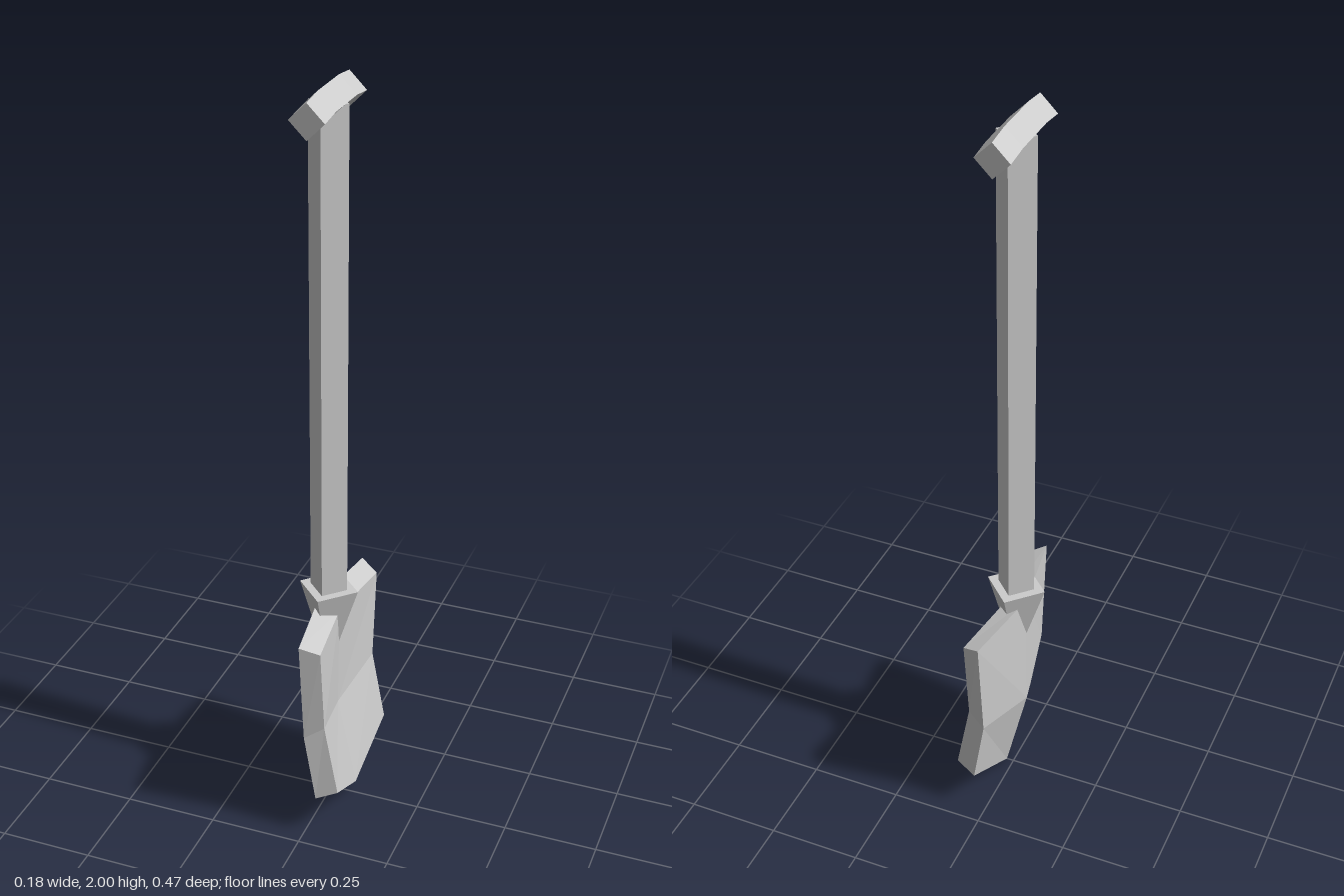
import * as THREE from 'three';

const material = new THREE.MeshStandardMaterial({ color: 0xcccccc, flatShading: true });
const AXIS_X = -0.008; // shaft centre line

function addPart(group, name, geometry) {
  const mesh = new THREE.Mesh(geometry, material);
  mesh.name = name;
  group.add(mesh);
  return mesh;
}

// Expands [corner, centre] rows into a grid mirrored across z
function mirroredGrid(rows) {
  return rows.map(([[cx, cy, cz], [mx, my]]) => [[cx, cy, -cz], [mx, my, 0], [cx, cy, cz]]);
}

// Dished blade: a hollow face, a wider back, and bevelled walls between them
function bladeGeometry() {
  const face = mirroredGrid([
    [[0.05, 0.587, 0.213], [0.022, 0.587]],
    [[0.05, 0.34, 0.186], [0.018, 0.295]],
    [[0.087, 0.14, 0.186], [0.071, 0.038]],
  ]);
  const back = mirroredGrid([
    [[0, 0.61, 0.235], [-0.037, 0.61]],
    [[0, 0.31, 0.205], [-0.04, 0.26]],
    [[0.031, 0.118, 0.203], [0.02, 0]],
  ]);
  const positions = [];
  const quad = (a, b, c, d) => positions.push(...a, ...b, ...c, ...a, ...c, ...d);

  for (let r = 0; r < 2; r++) {
    for (let c = 0; c < 2; c++) {
      quad(face[r][c], face[r][c + 1], face[r + 1][c + 1], face[r + 1][c]);
      quad(back[r][c], back[r + 1][c], back[r + 1][c + 1], back[r][c + 1]);
    }
  }
  const rim = [[0, 0], [0, 1], [0, 2], [1, 2], [2, 2], [2, 1], [2, 0], [1, 0]];
  rim.forEach(([r, c], i) => {
    const [r2, c2] = rim[(i + 1) % rim.length];
    quad(face[r][c], back[r][c], back[r2][c2], face[r2][c2]);
  });

  const geometry = new THREE.BufferGeometry();
  geometry.setAttribute('position', new THREE.Float32BufferAttribute(positions, 3));
  geometry.computeVertexNormals();
  return geometry;
}

// Diamond-section grip along z, its ends drooping slightly
function gripGeometry() {
  const geometry = new THREE.CylinderGeometry(0.044, 0.044, 0.274, 4, 4).rotateX(Math.PI / 2);
  const p = geometry.attributes.position;
  for (let i = 0; i < p.count; i++) {
    if (Math.abs(p.getZ(i)) > 0.1) p.setY(i, p.getY(i) - 0.008);
  }
  geometry.computeVertexNormals();
  return geometry;
}

export function createModel() {
  const group = new THREE.Group();
  group.name = 'shovel';

  addPart(group, 'blade', bladeGeometry());

  // Inverted four-sided spike that joins the shaft to the blade
  addPart(group, 'collar', new THREE.ConeGeometry(0.081, 0.255, 4).rotateX(Math.PI))
    .position.set(AXIS_X, 0.655 - 0.1275, 0);

  // Square shaft, turned edge-on
  addPart(group, 'shaft', new THREE.CylinderGeometry(0.051, 0.051, 1.316, 4))
    .position.set(AXIS_X, 0.64 + 0.658, 0);

  addPart(group, 'grip', gripGeometry()).position.set(AXIS_X, 1.956, 0);

  return group;
}
